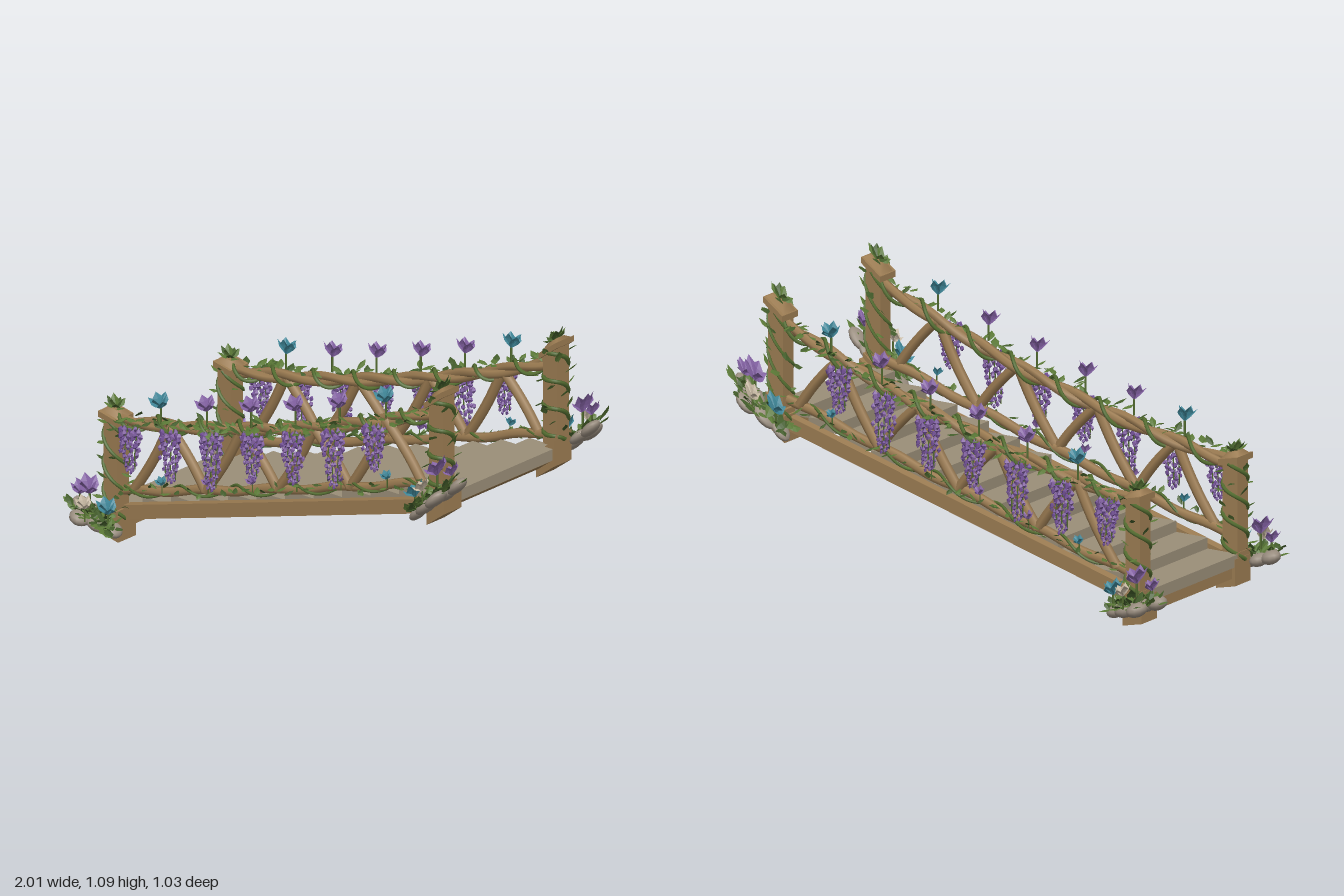
import * as THREE from 'three';
import { mergeGeometries } from 'three/addons/utils/BufferGeometryUtils.js';

const mat = (name, color, side = THREE.FrontSide) =>
  Object.assign(new THREE.MeshStandardMaterial({ color, side }), { name });

export function createModel() {
  const M = {
    wood: mat('wood', 0x9c7c52),
    board: mat('weathered board', 0x9a8e78),
    stone: mat('stone', 0x9a8e80),
    vine: mat('vine', 0x556f31),
    leaf: mat('leaf green', 0x597735, THREE.DoubleSide),
    dark: mat('dark leaf', 0x425c2a, THREE.DoubleSide),
    purple: mat('purple petal', 0x8462a4, THREE.DoubleSide),
    violet: mat('violet blossom', 0x714f95),
    teal: mat('teal petal', 0x3f8799, THREE.DoubleSide),
    cream: mat('cream petal', 0xc4b6a0, THREE.DoubleSide),
  };
  let seed = 7;
  const rnd = (a = 0, b = 1) => {
    seed = (seed * 16807) % 2147483647;
    return a + (b - a) * seed / 2147483647;
  };

  // Geometry is gathered by part and colour, then merged into named meshes
  const parts = new Map();
  let shear = null;
  const add = (name, m, geo) => {
    const g = geo.index ? geo.toNonIndexed() : geo;
    g.deleteAttribute('uv');
    if (shear) g.applyMatrix4(shear);
    const key = name + '|' + m;
    if (!parts.has(key)) parts.set(key, []);
    parts.get(key).push(g);
  };
  // Slope k along x, placed at x, y, z
  const slope = (k, x, y, z) => new THREE.Matrix4().set(1, 0, 0, x, k, 1, 0, y, 0, 0, 1, z, 0, 0, 0, 1);
  const box = (name, m, w, h, d, x, y, z, k = 0) =>
    add(name, m, new THREE.BoxGeometry(w, h, d).applyMatrix4(slope(k, x, y, z)));
  const tube = (name, m, fn, segs, r, sides = 6) => {
    const pts = Array.from({ length: segs + 1 }, (_, i) => new THREE.Vector3(...fn(i / segs)));
    add(name, m, new THREE.TubeGeometry(new THREE.CatmullRomCurve3(pts), segs * 2, r, sides));
  };

  // Folded pointed blade growing along +y and curling to +z
  const blade = (len, width, curl) => {
    const rows = [[0, 0.15], [0.35, 0.85], [0.6, 1], [1, 0]].map(([t, w]) => {
      const y = len * t, z = curl * len * t * t, h = width * w / 2;
      return [[-h, y, z + h * 0.4], [0, y, z], [h, y, z + h * 0.4]];
    });
    const p = [];
    for (let i = 0; i < 3; i++) for (let j = 0; j < 2; j++) {
      const a = rows[i][j], b = rows[i][j + 1], c = rows[i + 1][j + 1], d = rows[i + 1][j];
      p.push(...a, ...b, ...c);
      if (i < 2) p.push(...a, ...c, ...d);
    }
    const g = new THREE.BufferGeometry();
    g.setAttribute('position', new THREE.Float32BufferAttribute(p, 3));
    g.computeVertexNormals();
    return g;
  };
  const leaf = (name, m, x, y, z, len, yaw, tilt) =>
    add(name, m, blade(len, len * 0.6, 0.25).rotateX(tilt).rotateY(yaw).translate(x, y, z));
  // Cup of pointed petals on a short stem
  const flower = (name, m, x, y, z, s, lean) => {
    add(name, 'vine', new THREE.CylinderGeometry(s * 0.07, s * 0.07, s, 5).translate(x, y - s * 0.5, z));
    for (let i = 0; i < 6; i++)
      add(name, m, blade(s, s * 0.66, 0.3).rotateX(0.2 + (i % 2) * 0.2)
        .rotateY(i * Math.PI / 3).rotateX(lean).translate(x, y, z));
  };
  const spiral = (a, r) => [Math.cos(a) * r, Math.sin(a) * r];

  const topY = x => 0.655 + 0.285 * x + 0.085 * x * x;
  const lowY = x => 0.41 + 0.285 * x + 0.02 * x * x;

  // Twelve overlapping treads
  for (let i = 0; i < 12; i++)
    box('treads', 'board', 0.141, 0.046, 0.59, -0.779 + i * 0.1417, 0.117 + i * 0.0431, 0);
  // End beams
  box('endBeams', 'wood', 0.06, 0.045, 0.62, -0.81, 0.068, 0, -0.1);
  box('endBeams', 'wood', 0.06, 0.045, 0.62, 0.81, 0.561, 0, 0.75);

  for (const s of [1, -1]) {
    // Sloping stringer
    box('stringers', 'wood', 1.54, 0.058, 0.04, 0, 0.33, s * 0.315, 0.279);

    // Handrail of two twisted branches, and the lower rail
    const zr = s * 0.33;
    for (const ph of [0, Math.PI]) tube('handrails', 'wood', t => {
      const x = -0.8 + 1.6 * t, [a, b] = spiral(t * 22 + ph, 0.012);
      return [x, topY(x) + a, zr + b];
    }, 44, 0.018);
    tube('lowerRails', 'wood', t => {
      const x = -0.8 + 1.6 * t;
      return [x, lowY(x) + 0.006 * Math.sin(t * 30), zr];
    }, 24, 0.019);

    // Zigzag of gently bowed branches
    for (let i = 0; i < 8; i++) {
      const x0 = -0.72 + i * 0.18, x1 = x0 + 0.18, up = i % 2 === 0;
      const y0 = up ? lowY(x0) : topY(x0), y1 = up ? topY(x1) : lowY(x1);
      tube('lattice', 'wood', t => [x0 + 0.18 * t + 0.012 * Math.sin(t * Math.PI),
        y0 + (y1 - y0) * t, zr + s * 0.006], 5, 0.02);
    }

    // Vines winding round both rails
    tube('railVines', 'vine', t => {
      const x = -0.8 + 1.6 * t, [a, b] = spiral(t * 50, 0.034);
      return [x, topY(x) + a, zr + b];
    }, 90, 0.008, 5);
    tube('railVines', 'vine', t => {
      const x = -0.76 + 1.52 * t, [a, b] = spiral(t * 34, 0.022);
      return [x, lowY(x) + a, zr + s * 0.008 + b];
    }, 64, 0.006, 5);

    // Leaves along the rails
    const out = s > 0 ? 0 : Math.PI;
    for (let i = 0; i < 130; i++) {
      const x = -0.77 + 1.54 * i / 129;
      leaf('railLeaves', i % 3 ? 'leaf' : 'dark', x, topY(x) + rnd(-0.02, 0.035), zr + s * rnd(-0.008, 0.04),
        rnd(0.04, 0.058), out + rnd(-1.7, 1.7), rnd(0.6, 1.8));
      if (i % 3 === 0) leaf('lowerLeaves', i % 2 ? 'leaf' : 'dark', x, lowY(x) + rnd(-0.01, 0.02), zr + s * 0.02,
        rnd(0.03, 0.045), out + rnd(-1.4, 1.4), rnd(0.4, 1.9));
    }

    // Rail flowers, teal near the ends
    [-0.56, -0.33, -0.11, 0.11, 0.33, 0.56].forEach((x, i) => {
      const m = i % 5 ? 'purple' : 'teal';
      flower('railFlowers', m, x, topY(x) + 0.08, s * 0.362, 0.063, s * 0.25);
      flower('lowerFlowers', m, x, lowY(x) + 0.03, s * 0.355, 0.036, s * 0.35);
    });

    // Hanging blossom clusters: a full head thinning to trailing strands
    for (let c = 0; c < 7; c++) {
      const cx = -0.70 + c * 0.202, len = 0.17 + (c % 3) * 0.025;
      for (let i = 0; i < 72; i++) {
        const t = Math.pow(i / 71, 1.25), a = i * 2.4;
        const r = (t < 0.5 ? 0.05 : 0.05 - 0.07 * (t - 0.5)) * rnd(0.55, 1);
        const z = Math.max(0.352, 0.378 + Math.sin(a) * r * 0.6);
        add('blossoms', i % 3 ? 'violet' : 'purple', new THREE.OctahedronGeometry(0.0145 - 0.006 * t)
          .rotateX(a).scale(0.9, 1.15, 0.9)
          .translate(cx + Math.cos(a) * r, topY(cx) - 0.015 - t * len, s * z));
      }
      for (const dx of [-0.025, 0, 0.025])
        tube('blossomStems', 'vine', t => [cx + dx, topY(cx) - len * t, s * (0.36 + 0.02 * Math.sin(t * 2))], 4, 0.003, 4);
    }

    // Corner posts with their planting; each follows the slope at its end
    for (const e of [-1, 1]) {
      const up = e > 0, z = s * 0.33;
      shear = slope(up ? 0.75 : -0.22, e * 0.81, up ? 0.51 : 0.012, 0);
      box('postBases', 'wood', 0.086, 0.105, 0.104, 0, 0.052, s * 0.317);
      box('posts', 'wood', 0.068, 0.41, 0.07, 0, 0.285, z);
      box('postCollars', 'wood', 0.08, 0.02, 0.085, 0, 0.115, z);
      box('postCaps', 'wood', 0.086, 0.024, 0.106, 0, 0.488, s * 0.332);
      add('postCaps', 'wood', new THREE.CylinderGeometry(0.03, 0.058, 0.022, 4).rotateY(Math.PI / 4)
        .translate(0, 0.51, z));
      for (let i = 0; i < 9; i++)
        leaf('postTopLeaves', i % 2 ? 'dark' : 'leaf', 0, 0.515, z, 0.053, i * 0.7, 0.3 + (i % 3) * 0.3);
      for (const ph of [0, Math.PI]) tube('postVines', 'vine', t => {
        const [a, b] = spiral(t * 11 + ph, 0.048);
        return [a, 0.09 + 0.39 * t, z + b];
      }, 26, 0.0075, 5);
      for (let i = 0; i < 20; i++) {
        const a = i * 2.4, [dx, dz] = spiral(a, 0.042);
        leaf('postLeaves', i % 3 ? 'leaf' : 'dark', dx, 0.13 + i * 0.018, z + dz,
          rnd(0.035, 0.052), Math.PI / 2 - a + rnd(-0.8, 0.8), rnd(0.4, 1.4));
      }

      // Stones round the foot: outward offset, height, depth, radius
      [[0.125, 0.08, 0.385, 0.04], [0.075, 0.072, 0.45, 0.042], [0.01, 0.07, 0.425, 0.042],
        [-0.05, 0.066, 0.405, 0.038], [0.075, 0.075, 0.38, 0.038]].forEach(([u, y, d, r]) =>
        add('stones', 'stone', new THREE.SphereGeometry(r, 12, 8).scale(1.1, 0.7, 0.95)
          .rotateY(u * 20).translate(e * u, y, s * d)));

      // Tufts of leaves between the stones
      for (let i = 0; i < 72; i++)
        leaf('cornerLeaves', i % 2 ? 'leaf' : 'dark', e * rnd(-0.07, 0.125), 0.075 + rnd(0, 0.025),
          s * rnd(0.38, 0.46), rnd(0.04, 0.062), rnd(0, 6.28), rnd(0.3, 1.4));
      leaf('cornerLeaves', 'leaf', e * 0.14, 0.08, s * 0.41, 0.055, e * 1.57, 1.2);

      // Corner flowers
      flower('cornerFlowers', 'purple', e * 0.055, 0.17, s * 0.42, 0.072, s * 0.15);
      flower('cornerFlowers', 'purple', e * 0.115, 0.135, s * 0.405, 0.05, s * 0.15);
      flower('cornerFlowers', 'teal', e * -0.045, 0.135, s * 0.43, 0.064, s * 0.15);
      flower('cornerFlowers', 'cream', e * 0.03, 0.135, s * 0.477, 0.052, s * 0.2);
      shear = null;
    }
  }

  const group = new THREE.Group();
  group.name = 'gardenStairBridge';
  for (const [key, geos] of parts) {
    const [name, m] = key.split('|');
    const mesh = new THREE.Mesh(mergeGeometries(geos), M[m]);
    mesh.name = name;
    group.add(mesh);
  }
  return group;
}
